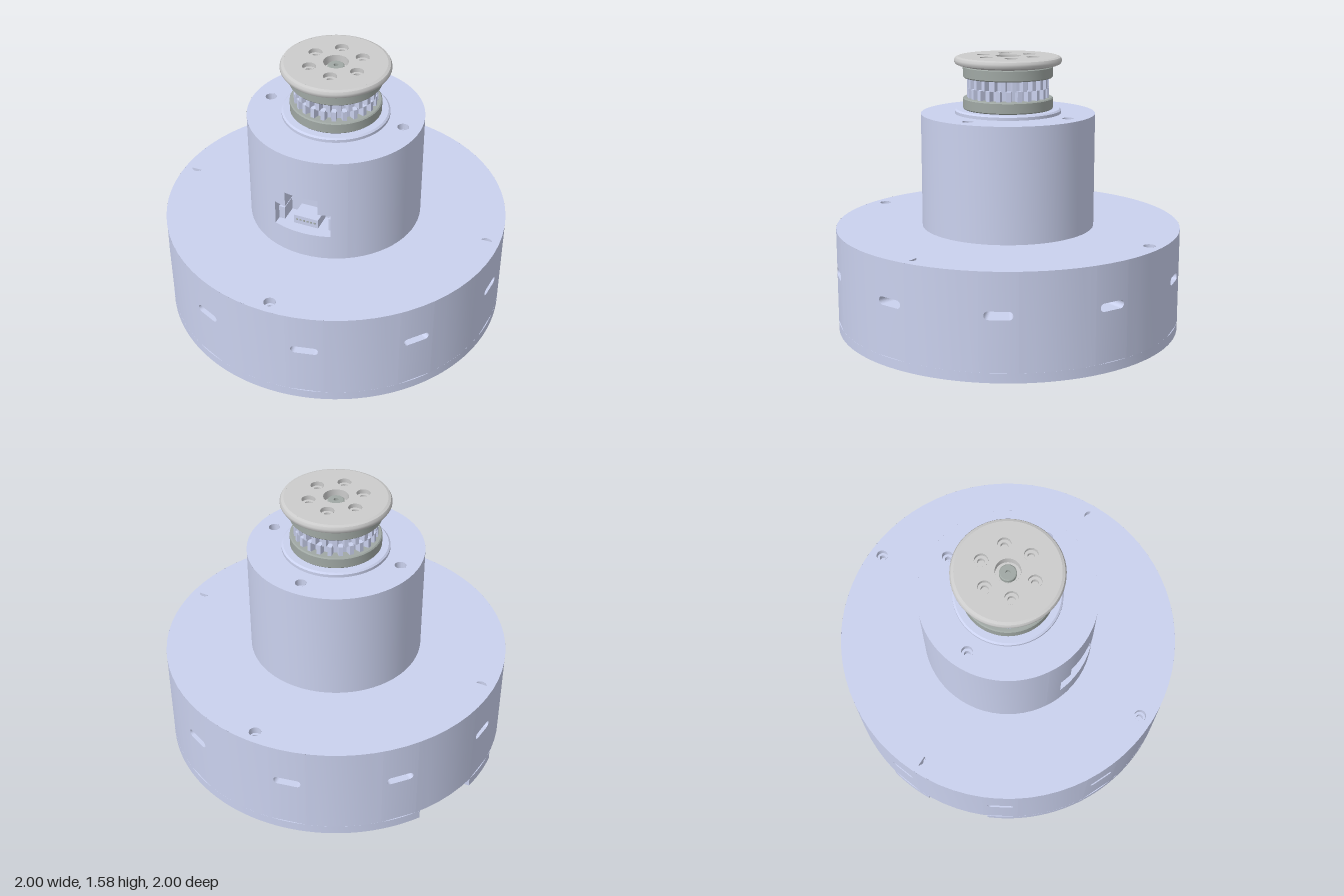
import * as THREE from 'three';
import { toCreasedNormals } from 'three/addons/utils/BufferGeometryUtils.js';

const mat = (color) => new THREE.MeshStandardMaterial({ color, side: THREE.DoubleSide });
const BODY = mat(0xcad1ee), CAP = mat(0xcccccc), FLANGE = mat(0xa0a8a4);
const DEG = Math.PI / 180;

export function createModel() {
  const model = new THREE.Group();

  function add(parent, name, geometry, material = BODY) {
    const mesh = new THREE.Mesh(geometry, material);
    mesh.name = name;
    parent.add(mesh);
    return mesh;
  }
  function group(name) {
    const g = new THREE.Group();
    g.name = name;
    model.add(g);
    return g;
  }
  function lathe(points, segments = 64, start = 0, length = Math.PI * 2) {
    const pts = points.map(([r, y]) => new THREE.Vector2(r, y));
    return toCreasedNormals(new THREE.LatheGeometry(pts, segments, start, length), 0.6);
  }
  // Round plate with round holes [x, z, r], facing up (1) or down (-1)
  function plate(radius, holes, y, facing = 1) {
    const shape = new THREE.Shape().absarc(0, 0, radius, 0, Math.PI * 2);
    for (const [x, z, r] of holes) {
      shape.holes.push(new THREE.Path().absarc(x, -facing * z, r, 0, Math.PI * 2, true));
    }
    return new THREE.ShapeGeometry(shape, 36).rotateX(-facing * Math.PI / 2).translate(0, y, 0);
  }
  // Counterbored screw hole below a plate
  function cup(parent, name, [x, z, r], y, depth, facing = 1, material = BODY) {
    const mesh = add(parent, name, lathe([[r, 0], [r, -depth], [r * 0.55, -depth],
      [r * 0.55, -depth * 2], [0, -depth * 2]], 20), material);
    mesh.position.set(x, y, z);
    if (facing < 0) mesh.rotation.x = Math.PI;
  }
  const cross = (d, r) => [[d, 0, r], [-d, 0, r], [0, d, r], [0, -d, r]];

  // ---- Base drum ----
  const base = group('base');
  const FOOT = 0.055, BASE_TOP = 0.6;

  // Bottom layer with two notches open toward -x
  const notches = [[0.07, 0.44], [-0.555, -0.195]];
  const foot = new THREE.Shape();
  const edge = (z) => Math.PI - Math.asin(z);
  foot.absarc(0, 0, 1, edge(-0.555), edge(0.44) + Math.PI * 2);
  foot.lineTo(-0.5, 0.44).lineTo(-0.5, 0.07);
  foot.absarc(0, 0, 1, edge(0.07), edge(-0.195));
  foot.lineTo(-0.5, -0.195).lineTo(-0.5, -0.555);
  add(base, 'notchedFoot', toCreasedNormals(new THREE.ExtrudeGeometry(foot,
    { depth: FOOT, bevelEnabled: false, curveSegments: 56 })
    .rotateX(Math.PI / 2).translate(0, FOOT, 0), 0.5));
  const footHoles = notches.map(([a, b]) => [-0.66, (a + b) / 2, 0.038]);
  add(base, 'notchCeiling', plate(1, footHoles, FOOT, -1));
  footHoles.forEach((h) => cup(base, 'notchScrewHole', h, FOOT, 0.1, -1));

  // Wall: ten panels with a rounded vent slot, plain wall between them
  const HALF = 6 * DEG, WALL = 0.2;
  const panel = new THREE.Shape();
  panel.moveTo(-HALF, FOOT).lineTo(HALF, FOOT).lineTo(HALF, BASE_TOP).lineTo(-HALF, BASE_TOP);
  const slot = new THREE.Path();
  slot.absarc(0.054, 0.365, 0.023, -Math.PI / 2, Math.PI / 2);
  slot.absarc(-0.054, 0.365, 0.023, Math.PI / 2, Math.PI * 1.5);
  panel.holes.push(slot);
  const panelGeo = new THREE.ExtrudeGeometry(panel, { depth: WALL, bevelEnabled: false, curveSegments: 8 });
  const P = panelGeo.attributes.position, N = panelGeo.attributes.normal;
  for (let i = 0; i < P.count; i++) {
    const s = Math.sin(P.getX(i)), c = Math.cos(P.getX(i));
    const r = 1 - WALL + P.getZ(i), nx = N.getX(i), nz = N.getZ(i);
    P.setXYZ(i, r * s, P.getY(i), r * c);
    N.setXYZ(i, nx * c + nz * s, N.getY(i), nz * c - nx * s);
  }
  for (let i = 0; i < 10; i++) {
    const phi = (12.7 + 36 * i) * DEG;
    add(base, 'slottedPanel', panelGeo).rotation.y = phi;
    add(base, 'plainWall', lathe([[1, FOOT], [1, BASE_TOP]], 5, phi + HALF, 24 * DEG));
  }
  add(base, 'innerDrum', lathe([[1 - WALL, FOOT], [1 - WALL, BASE_TOP]]));
  const baseHoles = cross(0.925, 0.034);
  add(base, 'baseTop', plate(1, baseHoles, BASE_TOP));
  baseHoles.forEach((h) => cup(base, 'baseScrewHole', h, BASE_TOP, 0.04));

  // ---- Upper housing ----
  const housing = group('housing');
  const R = 0.5, TOP = 1.255, BACK = 0.31;
  add(housing, 'housingWall', lathe([[R, BASE_TOP], [R, TOP]], 56, 30 * DEG, 300 * DEG));
  const topHoles = cross(0.4, 0.032);
  add(housing, 'housingTop', plate(R, topHoles, TOP));
  topHoles.forEach((h) => cup(housing, 'housingScrewHole', h, TOP, 0.04));

  // Front wall blocks around the stepped socket opening, front face on the cylinder
  const blocks = [
    [-0.25, -0.17, BASE_TOP, TOP], [0.165, 0.25, BASE_TOP, TOP],
    [-0.17, 0.165, BASE_TOP, 0.755], [-0.1, 0.095, 1.0, TOP],
    [-0.17, -0.1, 0.905, TOP], [0.095, 0.165, 0.905, TOP],
  ];
  for (const [x0, x1, y0, y1] of blocks) {
    const geo = new THREE.BoxGeometry(x1 - x0, y1 - y0, 1, 6).translate((x0 + x1) / 2, (y0 + y1) / 2, 0);
    const p = geo.attributes.position, n = geo.attributes.normal;
    for (let i = 0; i < p.count; i++) {
      const x = p.getX(i), z = Math.sqrt(R * R - x * x);
      if (n.getZ(i) > 0.5) n.setXYZ(i, x / R, 0, z / R);
      p.setZ(i, p.getZ(i) > 0 ? z : BACK);
    }
    add(housing, 'socketSurround', geo);
  }

  // Socket interior
  const box = (name, x0, x1, y0, y1, z0, z1, material) =>
    add(housing, name, new THREE.BoxGeometry(x1 - x0, y1 - y0, z1 - z0)
      .translate((x0 + x1) / 2, (y0 + y1) / 2, (z0 + z1) / 2), material);
  box('socketBack', -0.2, 0.2, 0.73, 1.03, BACK - 0.02, BACK + 0.01);
  box('socketTongue', -0.075, 0.07, 0.755, 0.81, BACK, 0.43);
  box('socketGuide', -0.17, -0.135, 0.755, 0.835, BACK, 0.42);
  box('socketGuide', 0.13, 0.165, 0.755, 0.835, BACK, 0.42);
  for (let i = 0; i < 6; i++) {
    const x = -0.055 + i * 0.021;
    box('contact', x - 0.005, x + 0.005, 0.782, 0.79, 0.43, 0.434, FLANGE);
  }

  // ---- Pulley ----
  const pulley = group('pulley');
  add(pulley, 'collar', lathe([[0.305, TOP], [0.305, 1.272], [0.295, 1.28], [0, 1.28]]));
  for (const y of [1.28, 1.46]) {
    add(pulley, 'flange', lathe([[0, y], [0.252, y], [0.258, y + 0.006], [0.258, y + 0.06],
      [0.252, y + 0.066], [0, y + 0.066]]), FLANGE);
  }

  // Two staggered rows of belt teeth
  const TEETH = 24, gear = new THREE.Shape();
  for (let i = 0; i < TEETH; i++) {
    [[0, 0.2], [0.12, 0.235], [0.5, 0.235], [0.62, 0.2]].forEach(([f, r], k) => {
      const a = ((i + f) / TEETH) * Math.PI * 2;
      gear[i + k ? 'lineTo' : 'moveTo'](r * Math.cos(a), r * Math.sin(a));
    });
  }
  const gearGeo = new THREE.ExtrudeGeometry(gear, { depth: 0.057, bevelEnabled: false }).rotateX(-Math.PI / 2);
  [1.346, 1.403].forEach((y, i) => {
    const row = add(pulley, 'toothRow', gearGeo);
    row.position.y = y;
    row.rotation.y = i * Math.PI / TEETH;
  });

  // Cap with rounded rim, six screw holes and a shaft bore
  add(pulley, 'capRim', lathe([[0, 1.524], [0.25, 1.524], [0.285, 1.532], [0.3, 1.538], [0.307, 1.55],
    [0.307, 1.562], [0.3, 1.574], [0.285, 1.58]]), CAP);
  const capHoles = [];
  for (let i = 0; i < 6; i++) {
    const a = (19.6 + 60 * i) * DEG;
    capHoles.push([0.153 * Math.cos(a), 0.153 * Math.sin(a), 0.038]);
  }
  add(pulley, 'capTop', plate(0.285, [...capHoles, [0, 0, 0.07]], 1.58), CAP);
  capHoles.forEach((h) => cup(pulley, 'capScrewHole', h, 1.58, 0.025, 1, CAP));
  add(pulley, 'shaftBore', lathe([[0.07, 1.58], [0.07, 1.53], [0.045, 1.53]], 32), CAP);
  add(pulley, 'shaftEnd', lathe([[0.047, 1.53], [0.047, 1.556], [0.042, 1.56], [0.013, 1.56],
    [0.013, 1.54], [0, 1.54]], 32), FLANGE);

  return model;
}
